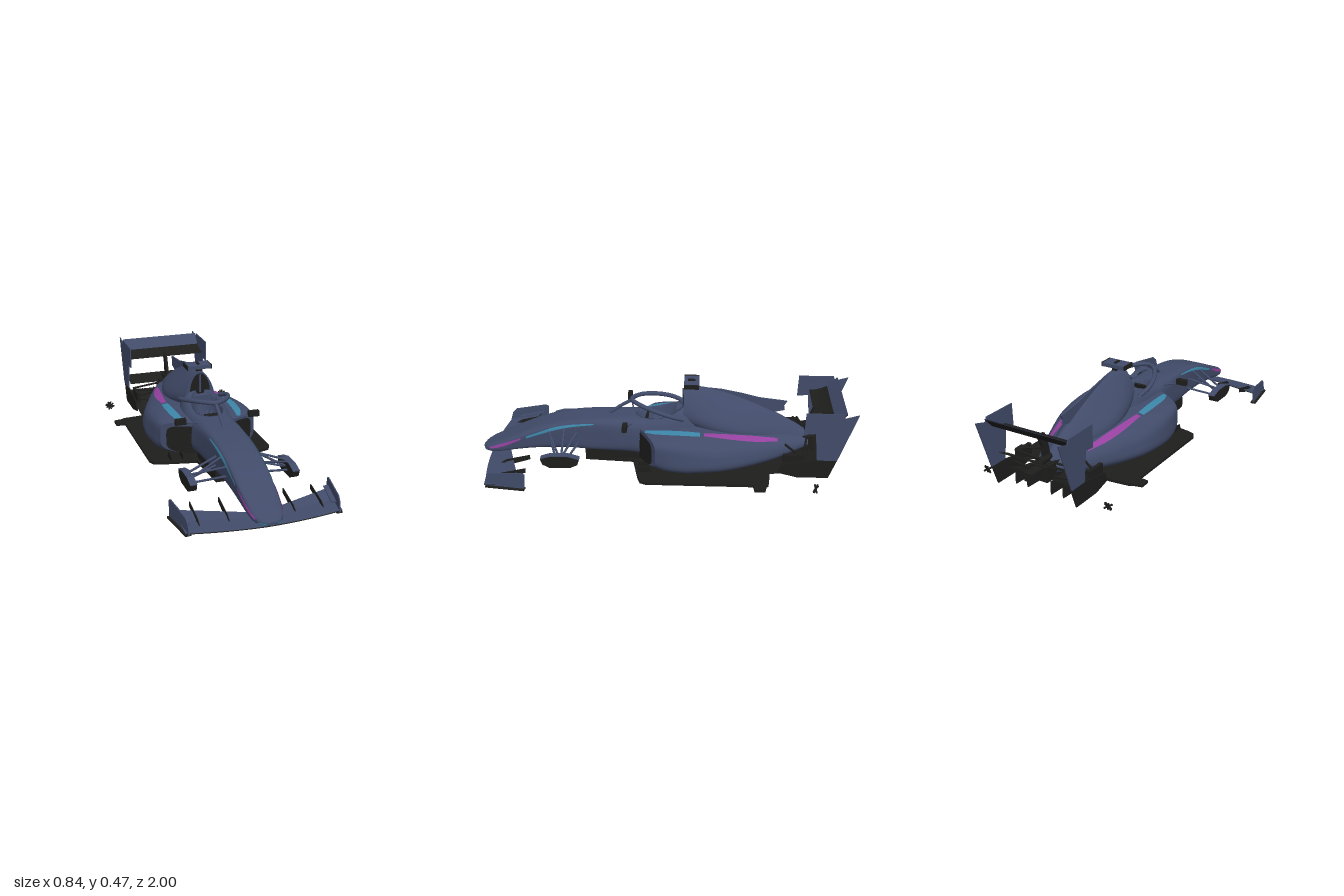
import * as THREE from 'three';

const mat = (name, color) => new THREE.MeshStandardMaterial({ name, color, side: THREE.DoubleSide });
const blue = mat('slate blue paint', 0x414b69);
const black = mat('carbon black', 0x1e1e1d);
const teal = mat('teal stripe', 0x3c86a8);
const purple = mat('purple stripe', 0x95419f);
const V = (x, y, z) => new THREE.Vector3(x, y, z);
const clamp = THREE.MathUtils.clamp;

// Surface over u, v in 0..1
function grid(nu, nv, fn) {
  const pos = [], idx = [];
  for (let i = 0; i <= nu; i++) for (let j = 0; j <= nv; j++) pos.push(...fn(i / nu, j / nv).toArray());
  for (let i = 0; i < nu; i++) for (let j = 0; j < nv; j++) {
    const a = i * (nv + 1) + j, b = a + nv + 1;
    idx.push(a, b, a + 1, b, b + 1, a + 1);
  }
  const g = new THREE.BufferGeometry();
  g.setAttribute('position', new THREE.Float32BufferAttribute(pos, 3));
  g.setIndex(idx);
  g.computeVertexNormals();
  return g;
}

// Smoothly interpolates rows [z, ...values] listed with z descending
function sample(rows, z) {
  let k = 0;
  while (k < rows.length - 2 && z < rows[k + 1][0]) k++;
  const a = rows[k], b = rows[k + 1], p = rows[Math.max(k - 1, 0)], q = rows[Math.min(k + 2, rows.length - 1)];
  const h = b[0] - a[0], t = clamp((z - a[0]) / h, 0, 1), s = 1 - t;
  return a.map((_, c) => {
    const m0 = (b[c] - p[c]) / (b[0] - p[0]) * h, m1 = (q[c] - a[c]) / (q[0] - a[0]) * h;
    return (1 + 2 * t) * s * s * a[c] + t * s * s * m0 + t * t * (3 - 2 * t) * b[c] - t * t * s * m1;
  });
}

// Body section: [z, half width, bottom, top, squareness, taper]
function bodySurface(rows, reshape) {
  return (z, phi, s = 1) => {
    const [, w, yb, yt, n, taper] = sample(rows, z);
    const c = Math.cos(phi), d = Math.sin(phi);
    const r = s / Math.pow(Math.abs(c) ** n + Math.abs(d) ** n, 1 / n);
    const p = V(w * r * c * (1 - taper * r * d / 2), (yb + yt) / 2 + (yt - yb) / 2 * r * d, z);
    return reshape ? reshape(p) : p;
  };
}

// Sinks the cockpit opening
function cockpit(p) {
  const d = (p.x / 0.078) ** 2 + ((p.z - 0.03) / 0.125) ** 2;
  if (d < 1) p.y = Math.min(p.y, 0.17 + 0.13 * clamp(1 - (1 - d) * 3.5, 0, 1));
  return p;
}
// Sweeps back the sidepod fronts
function sweepPod(p) {
  p.z -= Math.max(0, Math.abs(p.x) - 0.12) * 0.6 * clamp((p.z + 0.15) / 0.28, 0, 1);
  return cockpit(p);
}

const chassisRows = [
  [1, 0.02, 0.05, 0.064, 2, 0], [0.985, 0.05, 0.043, 0.076, 2.4, 0], [0.95, 0.072, 0.042, 0.093, 3.4, 0],
  [0.9, 0.082, 0.05, 0.113, 4.5, 0], [0.8, 0.089, 0.068, 0.158, 5.5, -0.04], [0.7, 0.092, 0.08, 0.2, 6, -0.06],
  [0.6, 0.094, 0.085, 0.232, 6, -0.06], [0.5, 0.096, 0.085, 0.252, 6, -0.05], [0.4, 0.1, 0.08, 0.262, 6, 0],
  [0.3, 0.105, 0.075, 0.267, 5, 0], [0.2, 0.112, 0.07, 0.27, 4, 0.05], [0.1, 0.122, 0.06, 0.275, 3.6, 0.1],
  [0, 0.13, 0.06, 0.298, 3.4, 0.2], [-0.1, 0.122, 0.06, 0.332, 3, 0.4], [-0.16, 0.105, 0.06, 0.335, 2.8, 0.5]];
const podRows = [
  [0.13, 0.265, 0.06, 0.232, 5, 0], [0.05, 0.28, 0.04, 0.24, 4.6, 0.04], [-0.1, 0.289, 0.028, 0.243, 3.9, 0.1],
  [-0.2, 0.288, 0.028, 0.24, 3.4, 0.13], [-0.3, 0.272, 0.028, 0.233, 3.1, 0.16], [-0.4, 0.238, 0.033, 0.224, 2.9, 0.2],
  [-0.5, 0.197, 0.042, 0.213, 2.7, 0.2], [-0.6, 0.152, 0.06, 0.201, 2.6, 0.2], [-0.7, 0.1, 0.088, 0.186, 2.4, 0.2],
  [-0.77, 0.06, 0.11, 0.168, 2.2, 0.2]];
const coverRows = [
  [-0.1, 0.075, 0.24, 0.434, 2.4, 0.85], [-0.2, 0.1, 0.2, 0.43, 2.1, 1.1], [-0.3, 0.112, 0.17, 0.41, 1.95, 1.3],
  [-0.4, 0.11, 0.15, 0.375, 1.9, 1.3], [-0.5, 0.095, 0.14, 0.333, 1.9, 1.15], [-0.6, 0.073, 0.13, 0.284, 2, 0.9],
  [-0.7, 0.052, 0.12, 0.228, 2, 0.6], [-0.77, 0.04, 0.11, 0.18, 2, 0.4]];

export function createModel() {
  const model = new THREE.Group();
  const add = (name, geo, m) => {
    const mesh = new THREE.Mesh(geo, m);
    mesh.name = name;
    model.add(mesh);
    return mesh;
  };
  const box = (name, m, w, h, d, x, y, z, rx = 0, ry = 0) =>
    add(name, new THREE.BoxGeometry(w, h, d).rotateX(rx).rotateY(ry).translate(x, y, z), m);
  const rod = (name, m, a, b, r = 0.006) => add(name, new THREE.TubeGeometry(new THREE.LineCurve3(a, b), 1, r, 8), m);
  // Upright plate from [z, y] points
  const plate = (name, m, pts, x, t = 0.006) => add(name,
    new THREE.ExtrudeGeometry(new THREE.Shape(pts.map(p => new THREE.Vector2(...p))), { depth: t, bevelEnabled: false })
      .rotateY(-Math.PI / 2).translate(x + t / 2, 0, 0), m);
  // Wing element: painted top and carbon underside
  const wing = (name, top, fn) => {
    add(name + 'Top', grid(6, 32, (u, v) => fn(u, v * 2 - 1)), top);
    add(name + 'Underside', grid(6, 32, (u, v) => fn(u, v * 2 - 1).add(V(0, -0.005, 0))), black);
  };
  const ang = v => (v * 2 - 0.5) * Math.PI;
  const loft = (name, surf, z0, z1) => {
    const mesh = add(name, grid(100, 96, (u, v) => surf(z0 + (z1 - z0) * u, ang(v))), blue);
    add(name + 'Front', grid(8, 96, (u, v) => surf(z0, ang(v), u)), blue);
    add(name + 'Back', grid(2, 48, (u, v) => surf(z1, ang(v), u)), black);
    return mesh;
  };

  // Bodywork
  const chassisSurf = bodySurface(chassisRows, cockpit);
  const podSurf = bodySurface(podRows, sweepPod);
  const coverSurf = bodySurface(coverRows);
  const chassis = loft('chassis', chassisSurf, 1, -0.16);
  const pods = loft('sidepods', podSurf, 0.13, -0.77);
  const cover = loft('engineCover', coverSurf, -0.1, -0.77);
  add('sidepodInlets', grid(8, 96, (u, v) => podSurf(0.13, ang(v), u * 0.9).add(V(0, -0.008, 0.004))), black);
  add('airIntake', grid(3, 48, (u, v) => coverSurf(-0.1, ang(v), u * 0.7).add(V(0, 0.02, 0.004))), black);
  box('airIntakeDivider', blue, 0.01, 0.1, 0.01, 0, 0.37, -0.096);
  plate('dorsalFin', blue, [[-0.14, 0.4], [-0.14, 0.434], [-0.3, 0.42], [-0.4, 0.4], [-0.5, 0.375], [-0.65, 0.357],
    [-0.635, 0.33], [-0.64, 0.305], [-0.58, 0.292], [-0.5, 0.25]], 0, 0.008);

  // Painted stripes laid onto the bodywork
  const ray = new THREE.Raycaster();
  const lay = (name, m, from, dir) => add(name, grid(24, 4, (u, v) => {
    ray.set(from(u, v), dir);
    return ray.intersectObjects([chassis, pods, cover])[0].point.addScaledVector(dir, -0.003);
  }), m);
  const line = (rows, u, v) => {
    const z = THREE.MathUtils.lerp(rows[0][0], rows[rows.length - 1][0], u);
    const [, c, w] = sample(rows, z);
    return [z, c + (v - 0.5) * w];
  };
  for (const s of [1, -1]) {
    const topStripe = (name, m, rows) => lay(name, m, (u, v) => {
      const [z, x] = line(rows, u, v);
      return V(s * x, 1, z);
    }, V(0, -1, 0));
    const sideStripe = (name, m, rows) => lay(name, m, (u, v) => {
      const [z, y] = line(rows, u, v);
      return V(s, y, z);
    }, V(-s, 0, 0));
    topStripe('podTealStripe', teal, [[0.1, 0.155, 0.02], [0.03, 0.17, 0.04], [-0.1, 0.177, 0.042], [-0.19, 0.177, 0.034]]);
    topStripe('podPurpleStripe', purple, [[-0.21, 0.175, 0.026], [-0.35, 0.163, 0.04], [-0.48, 0.142, 0.038], [-0.6, 0.115, 0.018]]);
    sideStripe('nosePurpleStripe', purple, [[0.96, 0.072, 0.01], [0.88, 0.1, 0.018], [0.78, 0.142, 0.01]]);
    sideStripe('noseTealStripe', teal, [[0.75, 0.153, 0.012], [0.6, 0.208, 0.017], [0.5, 0.23, 0.013], [0.38, 0.243, 0.006]]);
  }
  add('noseTipStripe', grid(4, 24, (u, v) => chassisSurf(0.997 - 0.022 * u, Math.PI * (1 + v), 1.04)), teal);

  // Cockpit, halo and camera
  box('seat', blue, 0.09, 0.02, 0.14, 0, 0.18, 0.02);
  box('headrest', blue, 0.11, 0.05, 0.04, 0, 0.285, -0.08);
  box('steeringWheel', black, 0.07, 0.035, 0.012, 0, 0.245, 0.1, -0.3);
  const arc = [[0.115, 0.29, -0.1], [0.128, 0.314, -0.03], [0.108, 0.336, 0.06], [0.062, 0.35, 0.14]];
  const haloPts = [...arc, [0, 0.352, 0.18], ...arc.map(([x, y, z]) => [-x, y, z]).reverse()].map(p => V(...p));
  add('haloRing', new THREE.TubeGeometry(new THREE.CatmullRomCurve3(haloPts), 60, 0.012, 10), blue);
  add('haloPillar', new THREE.TubeGeometry(
    new THREE.CatmullRomCurve3([V(0, 0.347, 0.18), V(0, 0.318, 0.23), V(0, 0.262, 0.31)]), 16, 0.009, 10), blue);
  box('cameraPost', black, 0.025, 0.03, 0.06, 0, 0.438, -0.14);
  box('cameraBar', blue, 0.132, 0.02, 0.08, 0, 0.457, -0.14);
  for (const s of [1, -1]) box('cameraBarEnd', black, 0.005, 0.024, 0.08, s * 0.067, 0.457, -0.14);
  box('cameraSensor', black, 0.012, 0.008, 0.04, 0, 0.47, -0.14);

  // Floor and diffuser
  const half = [[0.08, 0.43], [0.1, 0.17], [0.28, 0.135], [0.325, 0.12], [0.34, 0.09], [0.34, -0.47], [0.39, -0.475],
    [0.39, -0.53], [0.34, -0.54], [0.33, -0.55], [0.235, -0.56]];
  const outline = [...half, ...half.map(([x, z]) => [-x, z]).reverse()].map(p => new THREE.Vector2(...p));
  add('floor', new THREE.ExtrudeGeometry(new THREE.Shape(outline), { depth: 0.014, bevelEnabled: false })
    .rotateX(Math.PI / 2).translate(0, 0.034, 0), black);
  box('splitter', black, 0.17, 0.06, 0.3, 0, 0.055, 0.28);
  add('diffuser', grid(8, 2, (u, v) => V((v * 2 - 1) * 0.215, 0.03 + 0.075 * u * u, -0.54 - 0.29 * u)), black);
  for (const x of [-0.14, -0.07, 0.07, 0.14])
    plate('diffuserStrake', black, [[-0.55, 0.022], [-0.84, 0.035], [-0.84, 0.105], [-0.7, 0.05]], x);
  box('gearbox', black, 0.1, 0.08, 0.2, 0, 0.13, -0.74);
  box('crashStructure', black, 0.05, 0.045, 0.14, 0, 0.14, -0.85);
  add('exhaust', new THREE.CylinderGeometry(0.02, 0.02, 0.08, 16, 1, true).rotateX(Math.PI / 2).translate(0, 0.185, -0.79), black);

  // Front wing
  wing('frontWingMain', blue, (u, t) => {
    const a = Math.abs(t);
    return V(0.39 * t, 0.024 + 0.012 * u + 0.004 * a, THREE.MathUtils.lerp(0.958 - 0.04 * a * a, 0.875 - 0.055 * a, u));
  });
  wing('frontWingFlap', blue, (u, t) => {
    const a = Math.abs(t);
    return V(0.387 * t, 0.038 + 0.004 * a + (0.008 + 0.014 * a) * u, THREE.MathUtils.lerp(0.88 - 0.055 * a, 0.86 - 0.115 * a, u));
  });

  // Rear wing
  wing('rearWingMain', black, (u, t) => V(0.232 * t, 0.318 + 0.028 * u * u, -0.79 - 0.1 * u));
  wing('rearWingFlap', blue, (u, t) => V(0.232 * t, 0.343 + 0.055 * u, -0.885 - 0.055 * u));
  wing('beamWing', black, (u, t) => V(0.225 * t, 0.16 + 0.035 * u, -0.79 - 0.07 * u));
  plate('rearWingPylon', black, [[-0.74, 0.15], [-0.8, 0.15], [-0.81, 0.26], [-0.84, 0.325], [-0.79, 0.325], [-0.765, 0.26]], 0, 0.014);

  for (const s of [1, -1]) {
    // Wing endplates and vanes
    plate('frontEndplate', blue, [[0.115, 0.02], [0.1, 0.07], [0.075, 0.092], [-0.095, 0.11], [-0.11, 0.1], [-0.105, 0.02]], 0)
      .geometry.rotateY(-s * 0.14).translate(s * 0.39, 0, 0.815);
    box('frontFootplate', black, 0.03, 0.008, 0.21, s * 0.39, 0.016, 0.815, 0, -s * 0.14);
    box('frontDivePlane', blue, 0.025, 0.005, 0.14, s * 0.376, 0.06, 0.8, 0.15, -s * 0.14);
    for (const x of [0.165, 0.31])
      plate('frontWingVane', black, [[0.88, 0.035], [0.85, 0.055], [0.72, 0.085], [0.72, 0.06], [0.8, 0.035]], s * x, 0.004);
    plate('rearEndplate', blue, [[-0.73, 0.4], [-0.92, 0.4], [-0.93, 0.375], [-1, 0.395], [-0.93, 0.2], [-0.905, 0.13],
      [-0.8, 0.13], [-0.785, 0.285], [-0.725, 0.28]], s * 0.235);
    plate('rearEndplateLower', black, [[-0.8, 0.13], [-0.905, 0.13], [-0.865, 0.025], [-0.7, 0.025], [-0.6, 0.05],
      [-0.62, 0.1]], s * 0.232);

    // Floor fences ahead of the sidepods
    for (const x of [0.165, 0.23])
      plate('floorFence', black, [[0.14, 0.022], [0.135, 0.06], [0.08, 0.07], [0.06, 0.022]], s * x);

    // Mirrors
    box('mirror', black, 0.058, 0.03, 0.025, s * 0.2, 0.28, 0.205);
    rod('mirrorStalk', blue, V(s * 0.1, 0.25, 0.18), V(s * 0.18, 0.272, 0.2), 0.004);

    // Front hub and suspension
    plate('frontHub', black, [[0.645, 0.125], [0.635, 0.095], [0.6, 0.076], [0.49, 0.076], [0.45, 0.095], [0.44, 0.125],
      [0.5, 0.142], [0.59, 0.142]], s * 0.265, 0.034);
    plate('frontHubCover', blue, [[0.645, 0.126], [0.59, 0.143], [0.5, 0.143], [0.44, 0.126], [0.44, 0.13], [0.5, 0.147],
      [0.59, 0.147], [0.645, 0.13]], s * 0.265, 0.036);
    for (const [y0, z0, y1, z1] of [[0.195, 0.63, 0.14, 0.55], [0.19, 0.47, 0.14, 0.53], [0.14, 0.62, 0.1, 0.56],
      [0.135, 0.46, 0.1, 0.52], [0.215, 0.54, 0.105, 0.54]])
      rod('frontSuspensionArm', blue, V(s * 0.08, y0, z0), V(s * 0.265, y1, z1));

    // Rear suspension and loose brake parts
    for (const [y0, z0, y1, z1] of [[0.16, -0.6, 0.15, -0.71], [0.16, -0.76, 0.15, -0.73], [0.1, -0.6, 0.09, -0.7],
      [0.1, -0.78, 0.09, -0.74]])
      rod('rearSuspensionArm', black, V(s * 0.05, y0, z0), V(s * 0.225, y1, z1));
    box('rearDuct', black, 0.02, 0.06, 0.11, s * 0.215, 0.12, -0.68);
    for (let i = 0; i < 5; i++) {
      const a = i * Math.PI / 5, d = V(0.025 * Math.cos(a), 0.022 * Math.sin(a), 0.012 * Math.cos(2 * a)), c = V(s * 0.36, 0.032, -0.79);
      rod('rearBrakeSpike', black, c.clone().sub(d), c.clone().add(d), 0.005);
    }
  }
  return model;
}
